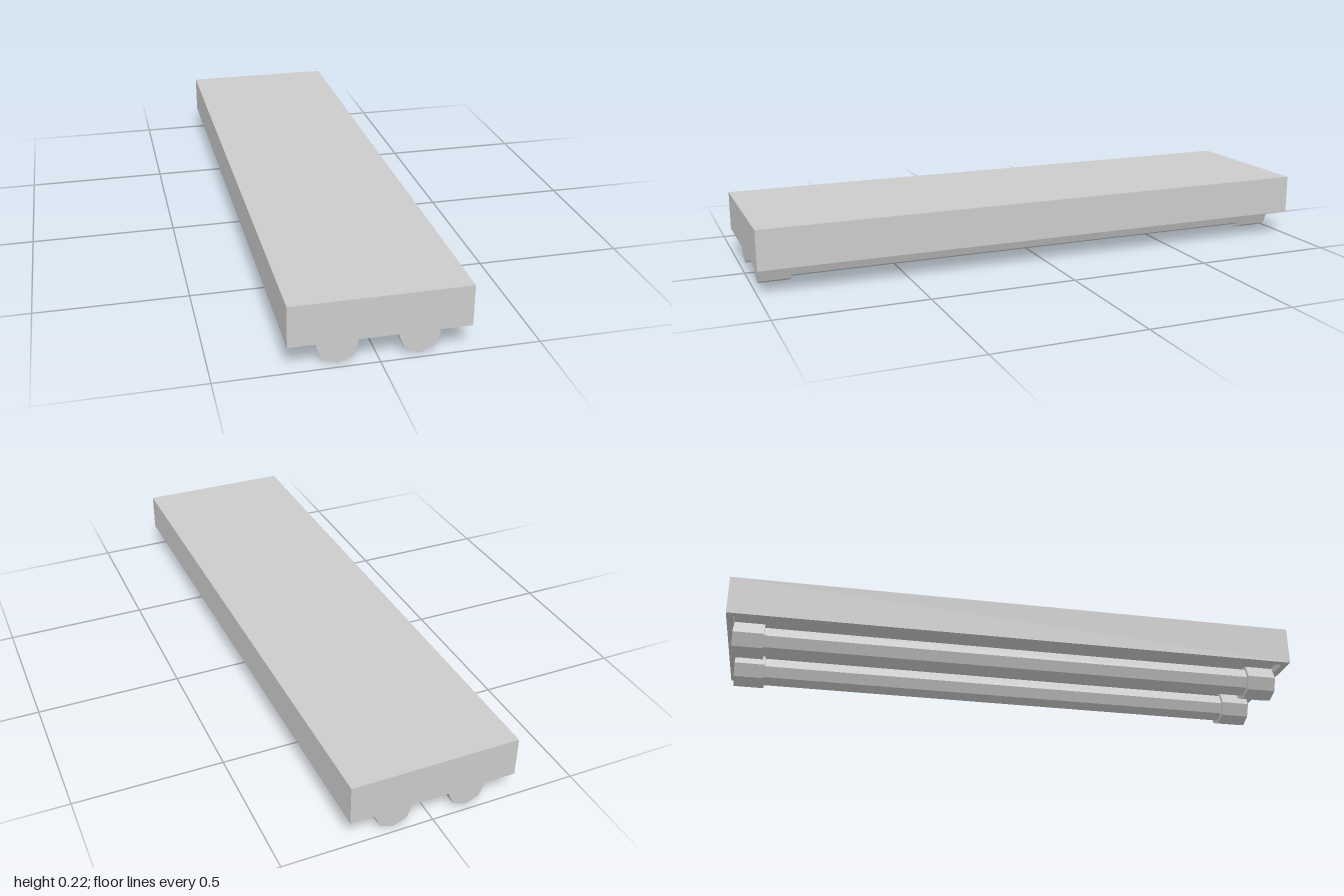
import * as THREE from 'three';

const material = new THREE.MeshStandardMaterial({ color: 0xcccccc, flatShading: true });

const W = 0.56, L = 2, BOTTOM = 0.087, TOP = 0.222; // housing
const RIM = 0.023, RECESS = 0.025;                  // lip width, recess depth

function part(name, geometry, x, y, z) {
  const mesh = new THREE.Mesh(geometry, material);
  mesh.name = name;
  mesh.position.set(x, y, z);
  return mesh;
}

// Rectangle outline centred on the origin
function outline(target, w, h) {
  target.moveTo(-w / 2, -h / 2);
  target.lineTo(w / 2, -h / 2);
  target.lineTo(w / 2, h / 2);
  target.lineTo(-w / 2, h / 2);
  target.closePath();
  return target;
}

// Housing: one open-bottomed tray, side walls with a recessed ceiling
function createHousing() {
  const housing = new THREE.Group();
  housing.name = 'housing';

  const frame = outline(new THREE.Shape(), W, L);
  frame.holes.push(outline(new THREE.Path(), W - 2 * RIM, L - 2 * RIM));
  const walls = new THREE.ExtrudeGeometry(frame, { depth: TOP - BOTTOM, bevelEnabled: false });
  walls.rotateX(-Math.PI / 2);
  housing.add(part('housingWalls', walls, 0, BOTTOM, 0));

  const thickness = TOP - BOTTOM - RECESS;
  const panel = new THREE.BoxGeometry(W - 2 * RIM, thickness, L - 2 * RIM);
  housing.add(part('housingPanel', panel, 0, TOP - thickness / 2, 0));
  return housing;
}

// Eight-sided rod along z with a corner pointing down
function rod(radius, length) {
  return new THREE.CylinderGeometry(radius, radius, length, 8).rotateX(Math.PI / 2);
}

// Lamp: a slim tube with a thicker holder at each end
function createLamp(name, x) {
  const lamp = new THREE.Group();
  lamp.name = name;
  lamp.position.set(x, 0.064, 0);
  lamp.add(part('tube', rod(0.052, 1.8), 0, 0, 0));
  for (const side of [-1, 1]) {
    lamp.add(part(side > 0 ? 'frontHolder' : 'backHolder', rod(0.064, 0.105), 0, 0, side * 0.9265));
  }
  return lamp;
}

export function createModel() {
  const model = new THREE.Group();
  model.name = 'ceilingLight';
  model.add(createHousing(), createLamp('leftLamp', 0.126), createLamp('rightLamp', -0.126));
  return model;
}
